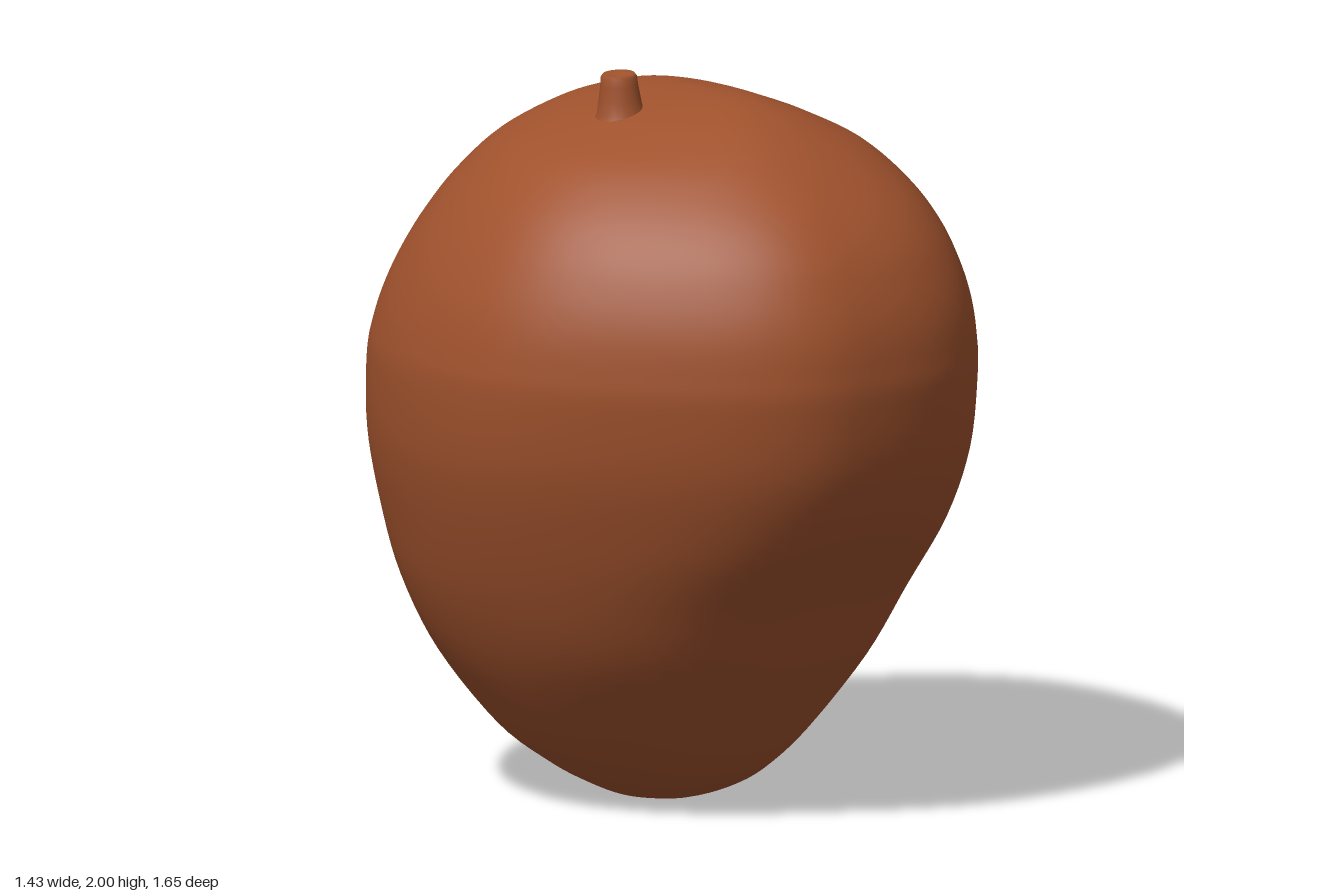
import * as THREE from 'three';
import { mergeVertices } from 'three/addons/utils/BufferGeometryUtils.js';

// Height, then the extents of each cross-section: [y, xMin, xMax, zMin, zMax]
const SECTIONS = [
  [0, 0.08, 0.08, -0.13, -0.13],
  [0.015, -0.02, 0.18, -0.25, -0.015],
  [0.05, -0.1, 0.27, -0.355, 0.08],
  [0.1, -0.18, 0.345, -0.45, 0.155],
  [0.2, -0.3, 0.445, -0.57, 0.25],
  [0.4, -0.46, 0.578, -0.7, 0.4],
  [0.6, -0.57, 0.652, -0.772, 0.53],
  [0.8, -0.645, 0.695, -0.81, 0.68],
  [1.0, -0.7, 0.712, -0.822, 0.78],
  [1.2, -0.72, 0.707, -0.805, 0.822],
  [1.3, -0.712, 0.697, -0.782, 0.825],
  [1.4, -0.69, 0.678, -0.745, 0.815],
  [1.5, -0.653, 0.648, -0.695, 0.785],
  [1.6, -0.6, 0.605, -0.633, 0.735],
  [1.7, -0.525, 0.545, -0.56, 0.65],
  [1.8, -0.41, 0.45, -0.465, 0.525],
  [1.87, -0.25, 0.32, -0.365, 0.41],
  [1.905, -0.13, 0.235, -0.28, 0.32],
  [1.93, -0.015, 0.16, -0.17, 0.21],
  [1.94, 0.07, 0.07, 0.03, 0.03],
];

// How much each cheek swells between the main axes; the front right one fills out low down
function cheek(c, s, y) {
  if (s <= 0) return c > 0 ? 0.022 : 0.018;
  return c > 0 ? 0.073 : -0.075 + 0.07 * Math.exp(-(((y - 0.5) / 0.28) ** 2));
}

// Smooth loft through the cross-sections
function fruitGeometry(rings = 95, sides = 96) {
  const curve = (a, b) => new THREE.CatmullRomCurve3(
    SECTIONS.map((s) => new THREE.Vector3(s[a], s[0], s[b])), false, 'catmullrom', 0.5);
  const xs = curve(1, 2), zs = curve(3, 4);
  const pos = [], index = [];
  for (let j = 0; j <= rings; j++) {
    const px = xs.getPoint(j / rings), pz = zs.getPoint(j / rings), y = px.y;
    const cx = (px.x + px.z) / 2, rx = (px.z - px.x) / 2;
    const cz = (pz.x + pz.z) / 2, rz = (pz.z - pz.x) / 2;
    for (let i = 0; i < sides; i++) {
      const t = (i / sides) * Math.PI * 2, c = Math.cos(t), s = Math.sin(t);
      const swell = 1 + cheek(c, s, y) * (2 * c * s) ** 2;
      const x = cx + rx * c * swell;
      let z = cz + rz * (s * swell + 0.045 * c);
      // Faint hollow below the front bulge
      if (s > 0) z -= 0.01 * s * Math.exp(-(((x - 0.14) / 0.2) ** 2) - ((y - 0.7) / 0.13) ** 2);
      pos.push(x, y, z);
      if (j < rings) {
        const n = (i + 1) % sides, a = j * sides + i, b = j * sides + n;
        if (j < rings - 1) index.push(a, a + sides, b + sides);
        if (j > 0) index.push(a, b + sides, b);
        if (j === rings - 1) index.push(a, a + sides, b);
      }
    }
  }
  let geo = new THREE.BufferGeometry();
  geo.setAttribute('position', new THREE.Float32BufferAttribute(pos, 3));
  geo.setIndex(index);
  geo = mergeVertices(geo, 1e-5);
  geo.computeVertexNormals();
  return geo;
}

export function createModel() {
  const model = new THREE.Group();
  model.name = 'fruit';
  const skin = new THREE.MeshStandardMaterial({ color: 0xa0522d });
  skin.name = 'russet brown';

  const body = new THREE.Mesh(fruitGeometry(), skin);
  body.name = 'fruitBody';
  model.add(body);

  // Short stalk with a flared foot and a slightly hollow tip
  const profile = [[0.1, -0.04], [0.075, 0], [0.062, 0.025], [0.056, 0.06], [0.05, 0.1],
    [0.048, 0.122], [0.042, 0.13], [0.03, 0.124], [0, 0.12]];
  const stalk = new THREE.Mesh(
    new THREE.LatheGeometry(profile.map(([r, y]) => new THREE.Vector2(r, y)), 20), skin);
  stalk.name = 'stalk';
  stalk.position.set(-0.16, 1.868, 0.015);
  stalk.rotation.z = 0.05;
  model.add(stalk);
  return model;
}
